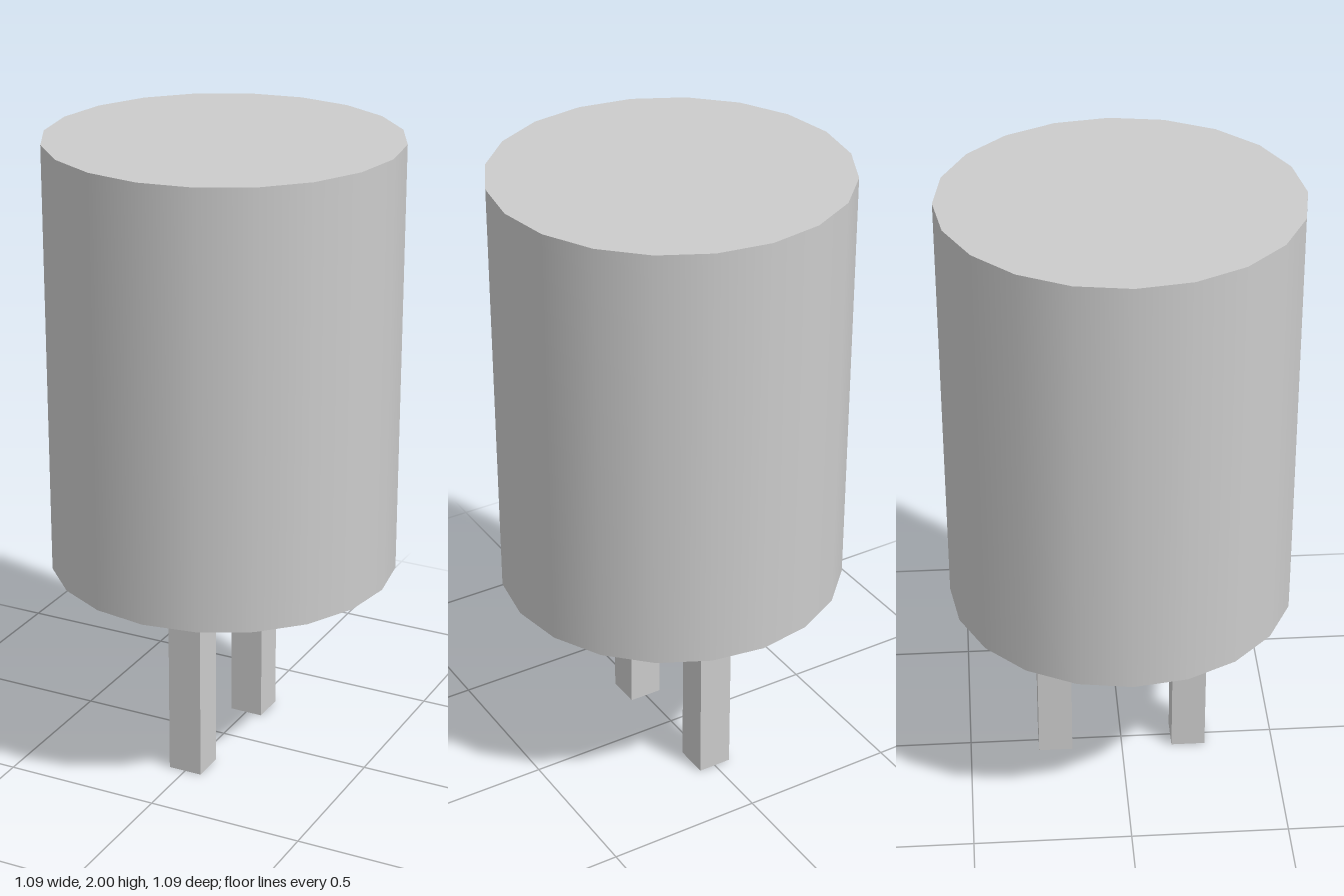
import * as THREE from 'three';

const BODY_RADIUS = 0.545;
const BODY_BOTTOM = 0.635;
const TOP = 2;
const PIN_WIDTH = 0.11;
const PIN_OFFSET = 0.22;

export function createModel() {
  const group = new THREE.Group();
  const material = new THREE.MeshStandardMaterial({ color: 0xcccccc });

  // Smooth-shaded 20-sided can with flat ends
  const bodyHeight = TOP - BODY_BOTTOM;
  const body = new THREE.Mesh(
    new THREE.CylinderGeometry(BODY_RADIUS, BODY_RADIUS, bodyHeight, 20),
    material
  );
  body.name = 'body';
  body.position.y = BODY_BOTTOM + bodyHeight / 2;
  group.add(body);

  // Two square pins below the body, one in front and one behind
  const pinGeometry = new THREE.BoxGeometry(PIN_WIDTH, BODY_BOTTOM, PIN_WIDTH);
  for (const [name, side] of [['frontPin', 1], ['backPin', -1]]) {
    const pin = new THREE.Mesh(pinGeometry, material);
    pin.name = name;
    pin.position.set(0, BODY_BOTTOM / 2, side * PIN_OFFSET);
    group.add(pin);
  }

  return group;
}
